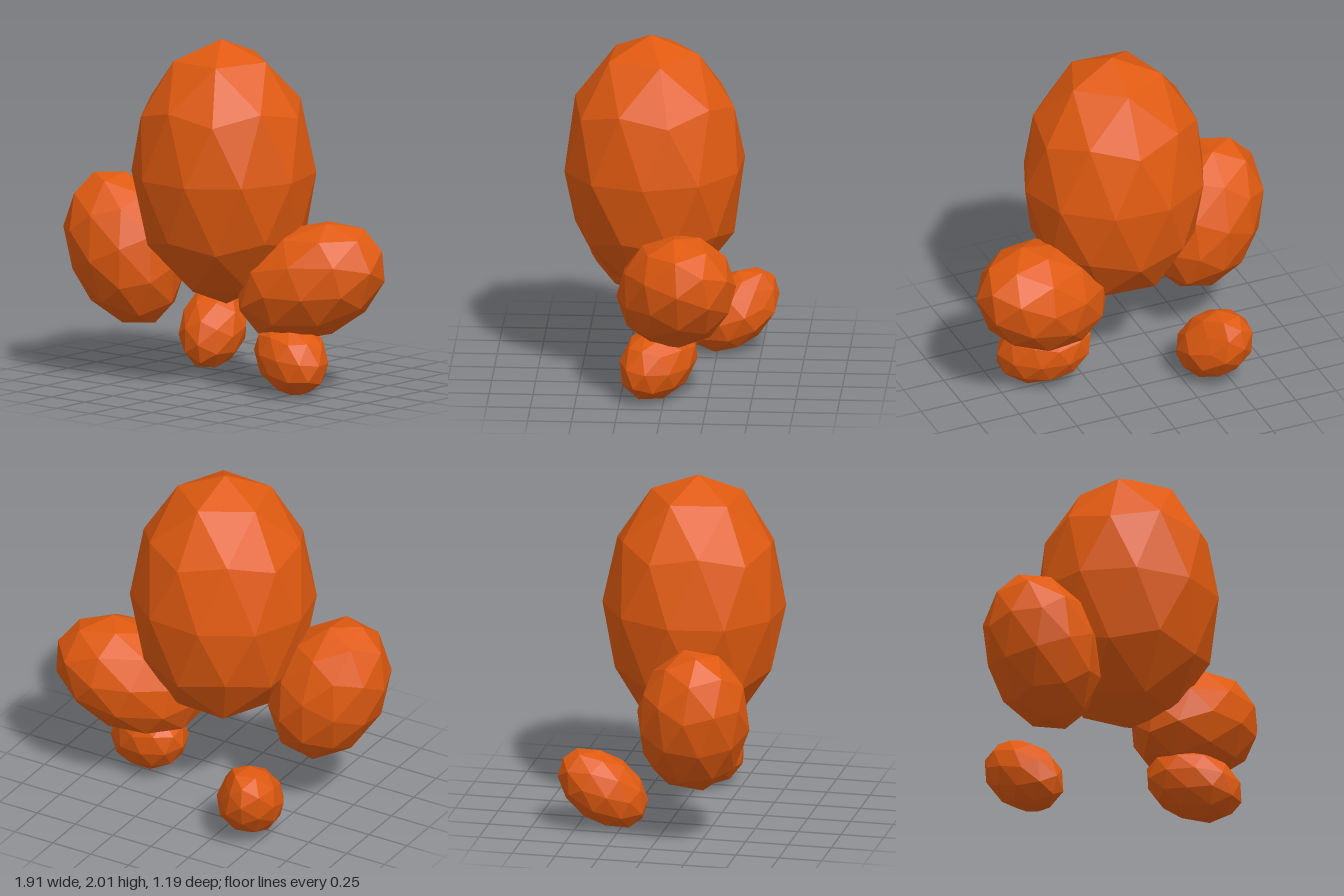
import * as THREE from 'three';

const material = new THREE.MeshStandardMaterial({ color: 0xe05a10, flatShading: true });

// Faceted egg: an 80-sided icosphere with a vertex at each pole, stretched along `axis`.
// `cut` = [normal, distance] optionally flattens one side.
function egg({ name, centre, radius, length, axis, spin = 0, cut }) {
  const g = new THREE.IcosahedronGeometry(1, 1);
  g.rotateZ(Math.atan(2 / (1 + Math.sqrt(5))));
  g.rotateY(THREE.MathUtils.degToRad(spin));
  g.scale(radius[0], length, radius[1]);
  g.applyQuaternion(new THREE.Quaternion().setFromUnitVectors(
    new THREE.Vector3(0, 1, 0), new THREE.Vector3(...axis).normalize()));
  if (cut) {
    const n = new THREE.Vector3(...cut[0]).normalize();
    const p = g.attributes.position, v = new THREE.Vector3();
    for (let i = 0; i < p.count; i++) {
      v.fromBufferAttribute(p, i);
      const over = v.dot(n) - cut[1];
      if (over > 0) v.addScaledVector(n, -over);
      p.setXYZ(i, v.x, v.y, v.z);
    }
  }
  g.computeVertexNormals();
  const mesh = new THREE.Mesh(g, material);
  mesh.name = name;
  mesh.position.set(...centre);
  return mesh;
}

export function createModel() {
  const model = new THREE.Group();
  model.name = 'eggCluster';
  const parts = [
    // Large upright body
    { name: 'body', centre: [0.015, 1.23, 0.085], radius: [0.536, 0.523], length: 0.77, axis: [0, 1, 0.03], spin: -22 },
    // Two leaning side lobes
    { name: 'leftLobe', centre: [0.53, 0.635, -0.07], radius: [0.325, 0.325], length: 0.463, axis: [1, 0.5, -0.45] },
    { name: 'rightLobe', centre: [-0.61, 0.735, 0.22], radius: [0.328, 0.328], length: 0.463, axis: [-0.39, 0.91, 0.12] },
    // Two small feet, each flattened on one side
    { name: 'leftFoot', centre: [0.473, 0.207, 0.035], radius: [0.202, 0.202], length: 0.29, axis: [0.8, -0.37, 0.45], cut: [[0, 1, 0.2], 0.185] },
    { name: 'rightFoot', centre: [-0.42, 0.23, -0.35], radius: [0.195, 0.195], length: 0.295, axis: [-0.25, 0.63, -0.73], cut: [[0.7, 0.3, -0.6], 0.18] },
  ];
  for (const part of parts) model.add(egg(part));
  return model;
}
